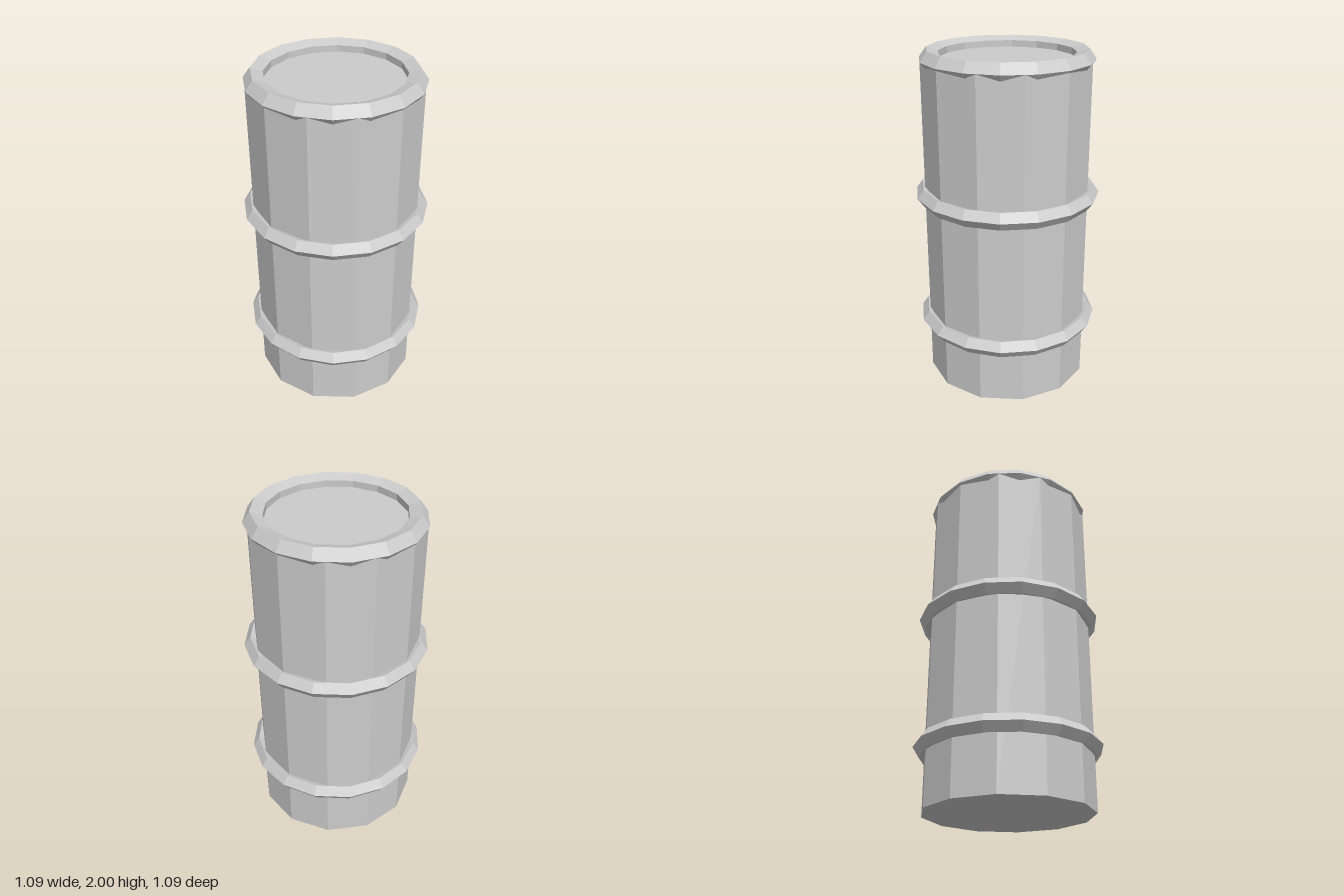
import * as THREE from 'three';

export function createModel() {
  const group = new THREE.Group();
  const material = new THREE.MeshStandardMaterial({ color: 0xcccccc, flatShading: true });

  const add = (name, geometry, y) => {
    const mesh = new THREE.Mesh(geometry, material);
    mesh.name = name;
    mesh.position.y = y;
    group.add(mesh);
  };

  // Five-sided hoop lying flat around the drum
  const hoop = (radius, tube) =>
    new THREE.TorusGeometry(radius, tube, 5, 16).rotateX(-Math.PI / 2);

  // Twelve-sided drum; its upper cap is the recessed lid
  const height = 1.94;
  add('body', new THREE.CylinderGeometry(0.488, 0.488, height, 12), height / 2);

  // Two raised hoops and the top rim
  add('lowerHoop', hoop(0.489, 0.054), 0.364);
  add('upperHoop', hoop(0.489, 0.054), 1.163);
  add('topRim', hoop(0.437, 0.06), 1.943);

  return group;
}
